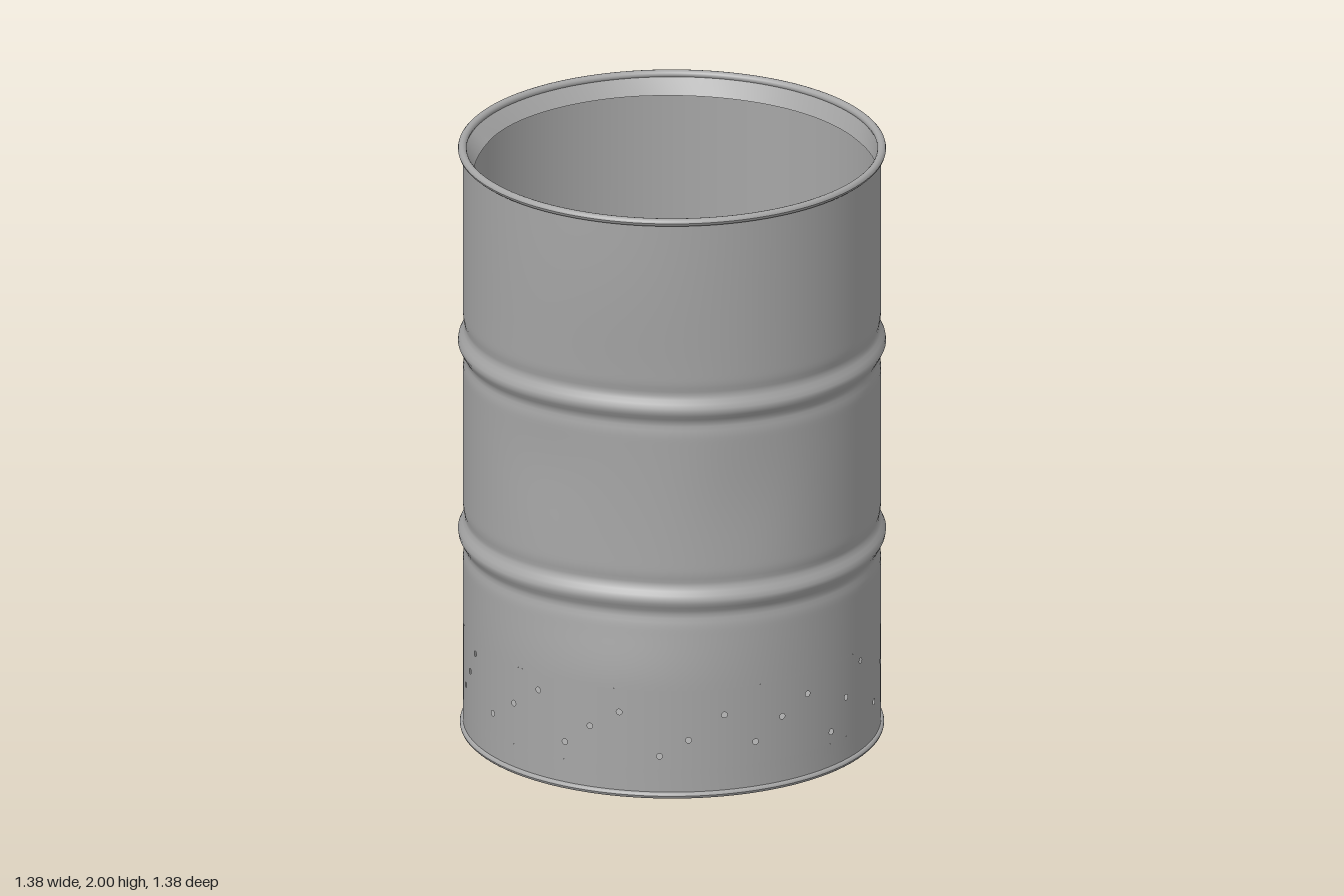
import * as THREE from 'three';
import { mergeVertices, mergeGeometries } from 'three/addons/utils/BufferGeometryUtils.js';

const RAD = Math.PI / 180;
const R = 0.674;          // body radius
const SEGMENTS = 160;
const BAND = [0.1, 0.37]; // height range of the perforated band

const steel = new THREE.MeshStandardMaterial({ color: 0xa6a6a6, side: THREE.DoubleSide });
steel.name = 'grey steel';

// Dents: angle from the front (degrees), height, angular spread, vertical spread, depth
const DENTS = [
  [0, 1.0, 30, 0.7, 0.032], [-22, 1.1, 14, 0.2, 0.008], [38, 1.0, 15, 0.25, 0.01],
  [182, 0.95, 16, 0.2, 0.016], [232, 1.05, 15, 0.18, 0.02],
];

function dentDepth(angle, y) {
  const fade = THREE.MathUtils.smoothstep(y, 0.37, 0.62) * (1 - THREE.MathUtils.smoothstep(y, 1.4, 1.95));
  let depth = 0;
  for (const [a, h, sa, sh, d] of DENTS) {
    const da = Math.atan2(Math.sin(angle - a * RAD), Math.cos(angle - a * RAD)) / (sa * RAD);
    depth += d * Math.exp(-da * da - ((y - h) / sh) ** 2);
  }
  return depth * fade;
}

// Body radius with the two rolled hoops and the faint grooves beside them
function bodyRadius(y) {
  let r = R;
  for (const h of [0.675, 1.33]) {
    const t = Math.abs(y - h);
    r += 0.018 * Math.max(0, 1 - t / 0.045) - 0.006 * Math.exp(-(((t - 0.05) / 0.025) ** 2));
  }
  return r;
}

function addMesh(group, name, geometry) {
  const mesh = new THREE.Mesh(geometry, steel);
  mesh.name = name;
  group.add(mesh);
}

function lathe(points) {
  return new THREE.LatheGeometry(points.map(([r, y]) => new THREE.Vector2(r, y)), SEGMENTS);
}

// Dented wall between two heights, smooth all the way round
function wall(y0, y1, rows) {
  const points = [];
  for (let i = 0; i <= rows; i++) {
    const y = y0 + ((y1 - y0) * i) / rows;
    points.push([bodyRadius(y), y]);
  }
  let geo = lathe(points);
  geo.deleteAttribute('uv');
  geo.deleteAttribute('normal');
  const p = geo.attributes.position;
  for (let i = 0; i < p.count; i++) {
    const x = p.getX(i), y = p.getY(i), z = p.getZ(i);
    const r = Math.hypot(x, z), k = (r - dentDepth(Math.atan2(x, z), y)) / r;
    p.setXYZ(i, x * k, y, z * k);
  }
  geo = mergeVertices(geo, 1e-5);
  geo.computeVertexNormals();
  return geo;
}

// Vent holes: angle from the front (degrees), height
const HOLES = [
  [2.5, 0.29], [13.7, 0.145], [21.7, 0.2], [31.7, 0.28], [40.7, 0.175], [49, 0.245], [57.6, 0.3],
  [66.7, 0.14], [73.5, 0.235], [81.5, 0.33], [92, 0.145], [101.5, 0.24], [110.8, 0.315], [120.2, 0.14],
  [128.5, 0.22], [136.5, 0.31], [152.7, 0.15], [159, 0.23], [163.5, 0.33], [179, 0.15], [185.5, 0.235],
  [193, 0.33], [201.6, 0.14], [211.6, 0.25], [221, 0.34], [225, 0.174], [235.6, 0.26], [242.7, 0.34],
  [248, 0.2], [257, 0.25], [263.4, 0.325], [270, 0.14], [277, 0.28], [286, 0.33], [297, 0.18],
  [302.4, 0.25], [307, 0.33], [318.2, 0.17], [328, 0.24], [337.4, 0.315], [346.3, 0.16], [354, 0.23],
];

// One upright strip of the band, bent round the barrel, with an optional hole
function strip(a0, a1, hole) {
  const [y0, y1] = BAND;
  const shape = new THREE.Shape();
  shape.moveTo(a0 * RAD, y0).lineTo(a1 * RAD, y0).lineTo(a1 * RAD, y1).lineTo(a0 * RAD, y1);
  if (hole) {
    const path = new THREE.Path();
    path.absellipse(hole[0] * RAD, hole[1], 0.01 / R, 0.01, 0, Math.PI * 2, true);
    shape.holes.push(path);
  }
  const geo = new THREE.ShapeGeometry(shape, 5);
  const p = geo.attributes.position, n = geo.attributes.normal;
  for (let i = 0; i < p.count; i++) {
    const a = p.getX(i), s = Math.sin(a), c = Math.cos(a);
    p.setXYZ(i, R * s, p.getY(i), R * c);
    n.setXYZ(i, s, 0, c);
  }
  return geo;
}

function perforatedBand() {
  const strips = [], half = 1.3;
  HOLES.forEach((hole, i) => {
    const start = hole[0] + half;
    const end = (i + 1 < HOLES.length ? HOLES[i + 1][0] : HOLES[0][0] + 360) - half;
    strips.push(strip(hole[0] - half, start, hole));
    const n = Math.max(1, Math.ceil((end - start) / 2.25));
    for (let k = 0; k < n; k++) {
      strips.push(strip(start + ((end - start) * k) / n, start + ((end - start) * (k + 1)) / n));
    }
  });
  return mergeGeometries(strips);
}

// Ragged lip left by the cut-out lid: angle from the front (degrees), inner radius
const LIP = [
  [0, 0.607], [8, 0.606], [18, 0.62], [30, 0.62], [45, 0.623], [60, 0.624], [72, 0.638], [90, 0.64],
  [114, 0.655], [130, 0.642], [150, 0.638], [180, 0.639], [210, 0.628], [235, 0.626], [255, 0.622],
  [270, 0.617], [290, 0.64], [304, 0.645], [320, 0.632], [335, 0.62], [341, 0.606], [350, 0.61], [360, 0.607],
];

function raggedLip() {
  const position = [], index = [], rows = 3;
  const count = 120;
  for (let i = 0; i < count; i++) {
    const deg = (i * 360) / count;
    const j = LIP.findIndex((e) => e[0] > deg);
    const [a, b] = [LIP[j - 1], LIP[j]];
    const inner = THREE.MathUtils.lerp(a[1], b[1], (deg - a[0]) / (b[0] - a[0]));
    const run = 0.666 - inner, drop = Math.sqrt(0.064 ** 2 - run ** 2);
    for (let k = 0; k < rows; k++) {
      const t = k / (rows - 1), r = 0.666 - run * t;
      position.push(r * Math.sin(deg * RAD), 1.982 - drop * t, r * Math.cos(deg * RAD));
      if (k) {
        const p = i * rows + k, q = ((i + 1) % count) * rows + k;
        index.push(p, q, q - 1, p, q - 1, p - 1);
      }
    }
  }
  const geo = new THREE.BufferGeometry();
  geo.setAttribute('position', new THREE.Float32BufferAttribute(position, 3));
  geo.setIndex(index);
  geo.computeVertexNormals();
  return geo;
}

// Rolled edge: an oval bead swept round the barrel
function bead(radius, y, halfWidth, halfHeight) {
  const points = [];
  for (let i = 0; i <= 12; i++) {
    const a = (i / 12) * Math.PI * 2;
    points.push([radius + Math.cos(a) * halfWidth, y + Math.sin(a) * halfHeight]);
  }
  return lathe(points);
}

export function createModel() {
  const barrel = new THREE.Group();
  barrel.name = 'barrel';

  // Wall
  addMesh(barrel, 'lowerWall', wall(0.01, BAND[0], 2));
  addMesh(barrel, 'perforatedBand', perforatedBand());
  addMesh(barrel, 'upperWall', wall(BAND[1], 1.985, 120));

  // Rims and the torn lid edge
  addMesh(barrel, 'topRim', bead(0.676, 1.987, 0.014, 0.013));
  addMesh(barrel, 'bottomRim', bead(0.673, 0.011, 0.011, 0.011));
  addMesh(barrel, 'lidLip', raggedLip());

  // Recessed floor
  addMesh(barrel, 'floorRecess', lathe([[0.668, 0.004], [0.635, 0.025]]));
  const floor = new THREE.CircleGeometry(0.64, 96);
  floor.rotateX(-Math.PI / 2);
  floor.translate(0, 0.025, 0);
  addMesh(barrel, 'floor', floor);
  return barrel;
}
